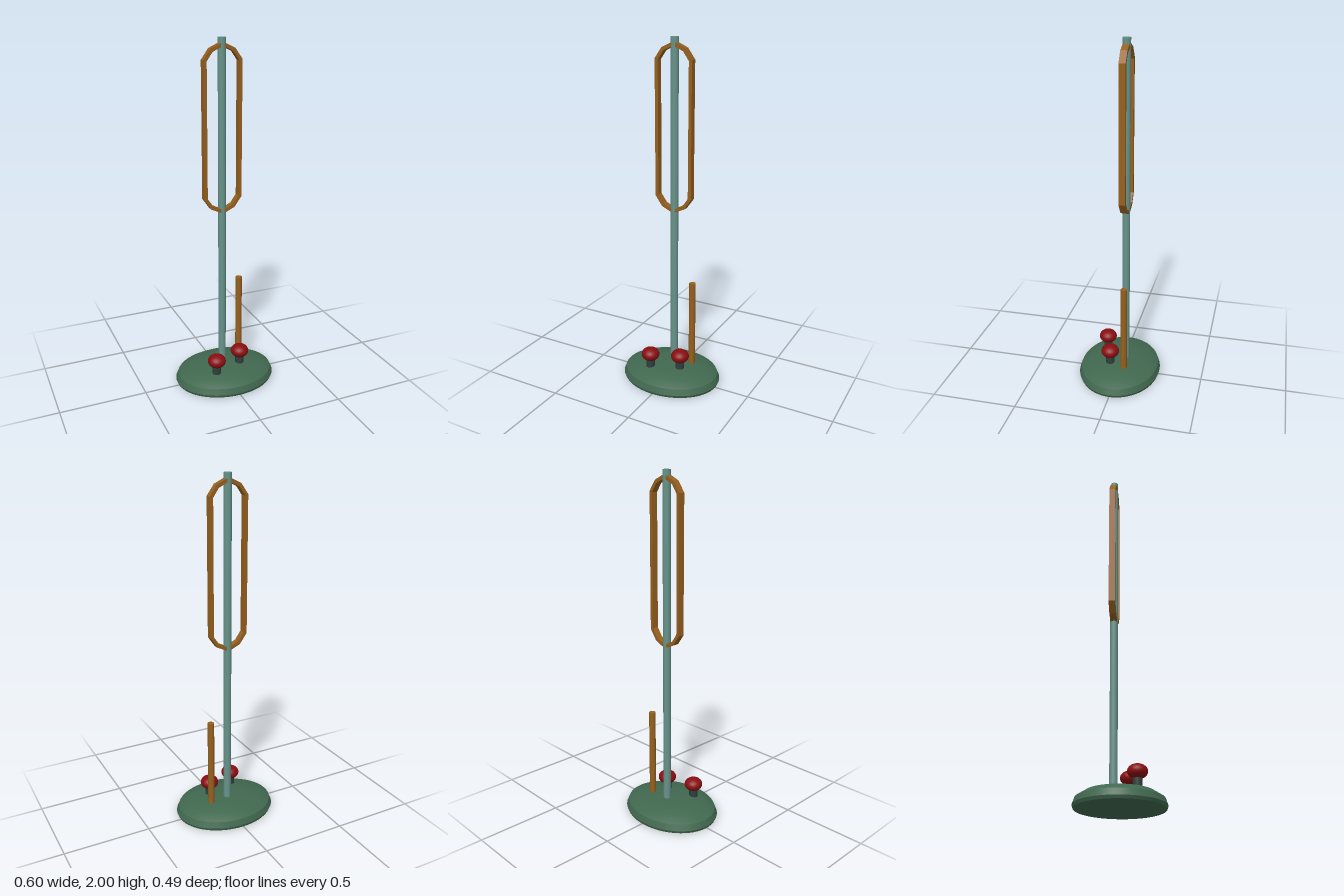
import * as THREE from 'three';

export function createModel() {
  const model = new THREE.Group();
  const paint = (name, color) => {
    const m = new THREE.MeshStandardMaterial({ color });
    m.name = name;
    return m;
  };
  const green = paint('base green', 0x41684f);
  const teal = paint('pole teal', 0x67938a);
  const amber = paint('amber', 0x96601f);
  const red = paint('knob red', 0x8a0d10);
  const slate = paint('stem slate', 0x2f3f3d);

  const add = (name, geometry, material, x = 0, y = 0, z = 0) => {
    const mesh = new THREE.Mesh(geometry, material);
    mesh.name = name;
    mesh.position.set(x, y, z);
    model.add(mesh);
    return mesh;
  };
  // Upright rod between two heights
  const rod = (name, r, y0, y1, x, z, material) =>
    add(name, new THREE.CylinderGeometry(r, r, y1 - y0, 24), material, x, (y0 + y1) / 2, z);

  // Oval base: separate lathe bands keep the rim edges crisp
  const bands = [
    ['baseUnderside', [[0, 0.004], [0.293, 0.004]]],
    ['baseFoot', [[0.293, 0.004], [0.3, 0.02]]],
    ['baseRim', [[0.3, 0.02], [0.285, 0.055]]],
    ['baseTop', [[0.285, 0.055], [0.225, 0.086], [0.12, 0.1], [0, 0.105]]],
  ];
  for (const [name, pts] of bands) {
    const profile = pts.map(([r, y]) => new THREE.Vector2(r, y - 0.004));
    add(name, new THREE.LatheGeometry(profile, 64), green).scale.z = 0.81;
  }

  // Tall pole and short side post
  rod('pole', 0.022, 0.08, 2, 0, -0.035, teal);
  rod('sidePost', 0.019, 0.07, 0.615, 0.113, -0.047, amber);

  // Long faceted hoop around the upper pole
  const quarter = [[0.112, 0.38], [0.07, 0.439], [0.016, 0.464]];
  const innerQuarter = [[0.093, 0.374], [0.06, 0.421], [0.016, 0.442]];
  const ring = (q) => {
    const back = [...q].reverse();
    return [
      ...q,
      ...back.map(([x, y]) => [-x, y]),
      ...q.map(([x, y]) => [-x, -y]),
      ...back.map(([x, y]) => [x, -y]),
    ].map(([x, y]) => new THREE.Vector2(x, y));
  };
  const hoop = new THREE.Shape(ring(quarter));
  hoop.holes.push(new THREE.Path(ring(innerQuarter)));
  add('hoop', new THREE.ExtrudeGeometry(hoop, { depth: 0.037, bevelEnabled: false }),
    amber, 0, 1.505, -0.0535);

  // Red knobs on short stems
  for (const [side, x, y, z] of [['right', -0.09, 0.17, 0.097], ['left', 0.08, 0.174, 0.043]]) {
    rod(side + 'KnobStem', 0.025, 0.075, y, x, z, slate);
    add(side + 'Knob', new THREE.SphereGeometry(0.053, 32, 20), red, x, y, z).scale.y = 0.74;
  }
  return model;
}
